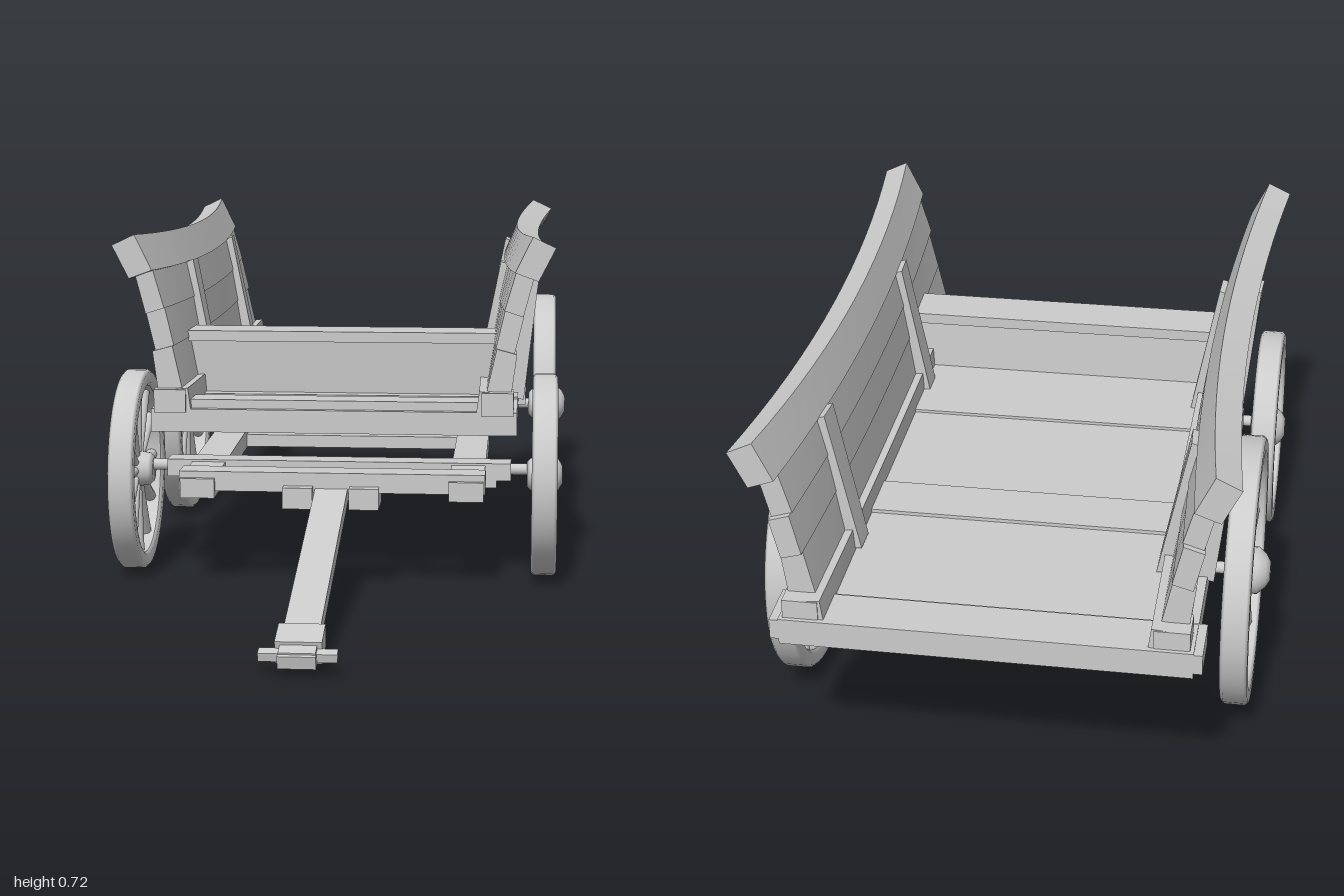
import * as THREE from 'three';

const grey = new THREE.MeshStandardMaterial({ color: 0xcccccc });

function add(parent, name, geometry) {
  const mesh = new THREE.Mesh(geometry, grey);
  mesh.name = name;
  parent.add(mesh);
  return mesh;
}

// Box given by its extents on each axis.
function block(parent, name, [x0, x1], [y0, y1], [z0, z1]) {
  const mesh = add(parent, name, new THREE.BoxGeometry(x1 - x0, y1 - y0, z1 - z0));
  mesh.position.set((x0 + x1) / 2, (y0 + y1) / 2, (z0 + z1) / 2);
  return mesh;
}

// Plank along z with a four-cornered section (inner bottom, outer bottom,
// outer top, inner top). It bows inward and sags mid-length, more so higher up.
function sidePlank(parent, name, side, [ib, ob, ot, it], z0, z1, steps = 16) {
  const geometry = new THREE.BoxGeometry(1, 1, 1, 1, 1, steps);
  const p = geometry.attributes.position;
  const mix = THREE.MathUtils.lerp;
  for (let i = 0; i < p.count; i++) {
    const u = 0.5 + side * p.getX(i), v = 0.5 + p.getY(i);
    const z = mix(z0, z1, p.getZ(i) + 0.5);
    const x = mix(mix(ib[0], ob[0], u), mix(it[0], ot[0], u), v);
    const y = mix(mix(ib[1], ob[1], u), mix(it[1], ot[1], u), v);
    const t = (z + 0.35) / 0.64;
    const bow = (1 - t * t) * Math.max(0, (y - 0.36) / 0.34);
    p.setXYZ(i, side * (x - 0.035 * bow), y - 0.016 * bow, z);
  }
  geometry.computeVertexNormals();
  return add(parent, name, geometry);
}

// Spoked wheel whose axis lies along x.
function wheel(name, side, radius, z, hubReach) {
  const group = new THREE.Group();
  group.name = name;
  const lathe = (points, segments) =>
    new THREE.LatheGeometry(points.map(([r, a]) => new THREE.Vector2(r, a)), segments)
      .rotateZ(-side * Math.PI / 2);
  const inner = radius - 0.034, h = 0.026, c = 0.006;
  add(group, 'rim', lathe([
    [inner, -h + c], [inner + c, -h], [radius - c, -h], [radius, -h + c],
    [radius, h - c], [radius - c, h], [inner + c, h], [inner, h - c], [inner, -h + c],
  ], 48));
  add(group, 'hub', lathe([
    [0, -0.036], [0.026, -0.036], [0.034, -0.028], [0.038, 0], [0.046, 0.012],
    [0.046, hubReach - 0.024], [0.032, hubReach - 0.008], [0.018, hubReach], [0, hubReach],
  ], 24));
  const length = radius - 0.05;
  for (let i = 0; i < 12; i++) {
    const geometry = new THREE.CylinderGeometry(0.013, 0.009, length, 8);
    geometry.translate(0, 0.025 + length / 2, 0).rotateX(i * Math.PI / 6);
    add(group, 'spoke', geometry);
  }
  group.position.set(side * 0.429, radius, z);
  return group;
}

export function createModel() {
  const model = new THREE.Group();
  model.name = 'wagon';

  // Floor planks, with slightly uneven heights
  const bed = new THREE.Group();
  bed.name = 'bed';
  model.add(bed);
  const seams = [-0.995, -0.9, -0.6, -0.49, -0.19, 0.09, 0.285];
  const tops = [0.366, 0.36, 0.367, 0.36, 0.366, 0.362];
  tops.forEach((top, i) =>
    block(bed, 'floorPlank', [-0.372, 0.372], [0.315, top], [seams[i], seams[i + 1]]));
  for (const z of [-0.945, -0.13]) {
    block(bed, 'crossBeam', [-0.388, 0.388], [0.325, 0.364], [z - 0.05, z + 0.05]);
  }
  block(bed, 'frontSill', [-0.3, 0.3], [0.36, 0.38], [0.2, 0.27]);

  // Front board with its cap
  const board = block(bed, 'frontBoard', [-0.322, 0.322], [0.36, 0.485], [0.02, 0.06]);
  board.rotation.x = 0.08;
  block(bed, 'frontBoardCap', [-0.33, 0.33], [0.478, 0.5], [-0.01, 0.09]);

  // Sloping sides
  for (const s of [1, -1]) {
    const sideGroup = new THREE.Group();
    sideGroup.name = s > 0 ? 'leftSide' : 'rightSide';
    model.add(sideGroup);
    sidePlank(sideGroup, 'sill', s,
      [[0.29, 0.36], [0.355, 0.352], [0.362, 0.398], [0.296, 0.405]], -0.985, 0.285);
    sidePlank(sideGroup, 'lowerPlank', s,
      [[0.308, 0.39], [0.358, 0.38], [0.372, 0.478], [0.331, 0.489]], -0.955, 0.265);
    sidePlank(sideGroup, 'middlePlank', s,
      [[0.329, 0.489], [0.367, 0.478], [0.386, 0.555], [0.348, 0.567]], -0.968, 0.258);
    sidePlank(sideGroup, 'upperPlank', s,
      [[0.346, 0.567], [0.384, 0.555], [0.408, 0.645], [0.372, 0.655]], -0.955, 0.272);
    sidePlank(sideGroup, 'topRail', s,
      [[0.365, 0.645], [0.412, 0.628], [0.446, 0.695], [0.4, 0.717]], -0.985, 0.295);
    // Upright cleats on both faces
    for (const z of [-0.705, -0.01]) {
      sidePlank(sideGroup, 'outerCleat', s,
        [[0.345, 0.36], [0.384, 0.35], [0.432, 0.622], [0.395, 0.63]], z - 0.029, z + 0.029, 2);
    }
    for (const z of [-0.71, -0.07]) {
      sidePlank(sideGroup, 'innerCleat', s,
        [[0.278, 0.365], [0.325, 0.365], [0.385, 0.64], [0.355, 0.65]], z - 0.028, z + 0.028, 2);
    }
    for (const z of [-0.965, 0.25]) {
      block(sideGroup, 'cornerBlock', s > 0 ? [0.3, 0.365] : [-0.365, -0.3],
        [0.355, 0.402], [z - 0.022, z + 0.04]);
    }
  }

  // Wheels and axles
  for (const s of [1, -1]) {
    const label = s > 0 ? 'Left' : 'Right';
    model.add(wheel('front' + label + 'Wheel', s, 0.21, 0.13, 0.038));
    model.add(wheel('rear' + label + 'Wheel', s, 0.26, -0.54, 0.05));
  }
  for (const [name, y, z] of [['frontAxle', 0.22, 0.13], ['rearAxle', 0.26, -0.54]]) {
    const axle = add(model, name, new THREE.CylinderGeometry(0.012, 0.012, 0.82, 16));
    axle.rotation.z = Math.PI / 2;
    axle.position.set(0, y, z);
  }

  // Steering frame under the front
  const frame = new THREE.Group();
  frame.name = 'steeringFrame';
  model.add(frame);
  block(frame, 'frontBar', [-0.31, 0.31], [0.2, 0.24], [0.255, 0.32]);
  block(frame, 'axleBeam', [-0.36, 0.36], [0.2, 0.236], [0.1, 0.16]);
  block(frame, 'rearBar', [-0.3, 0.3], [0.205, 0.232], [-0.235, -0.195]);
  for (const s of [1, -1]) {
    const hound = block(frame, 'hound', [s * 0.272 - 0.035, s * 0.272 + 0.035],
      [0.195, 0.235], [-0.24, 0.33]);
    hound.rotation.x = 0.03;
    block(frame, 'houndPad', [s * 0.302 - 0.028, s * 0.302 + 0.028], [0.185, 0.205], [0.1, 0.16]);
    block(frame, 'tongueJaw', [s * 0.067 - 0.03, s * 0.067 + 0.03], [0.17, 0.213], [0.25, 0.345]);
  }

  // Tongue sloping down to the hitch
  const tongue = new THREE.Group();
  tongue.name = 'tongue';
  tongue.position.set(0, 0.195, 0.31);
  tongue.rotation.x = 0.238;
  model.add(tongue);
  block(tongue, 'pole', [-0.033, 0.033], [-0.015, 0.015], [-0.04, 0.7]);
  block(tongue, 'hitchCollar', [-0.042, 0.042], [-0.021, 0.021], [0.6, 0.67]);
  block(tongue, 'hitchPin', [-0.07, 0.07], [-0.008, 0.008], [0.668, 0.69]);
  block(tongue, 'hitchTip', [-0.034, 0.034], [-0.012, 0.012], [0.69, 0.708]);

  return model;
}
